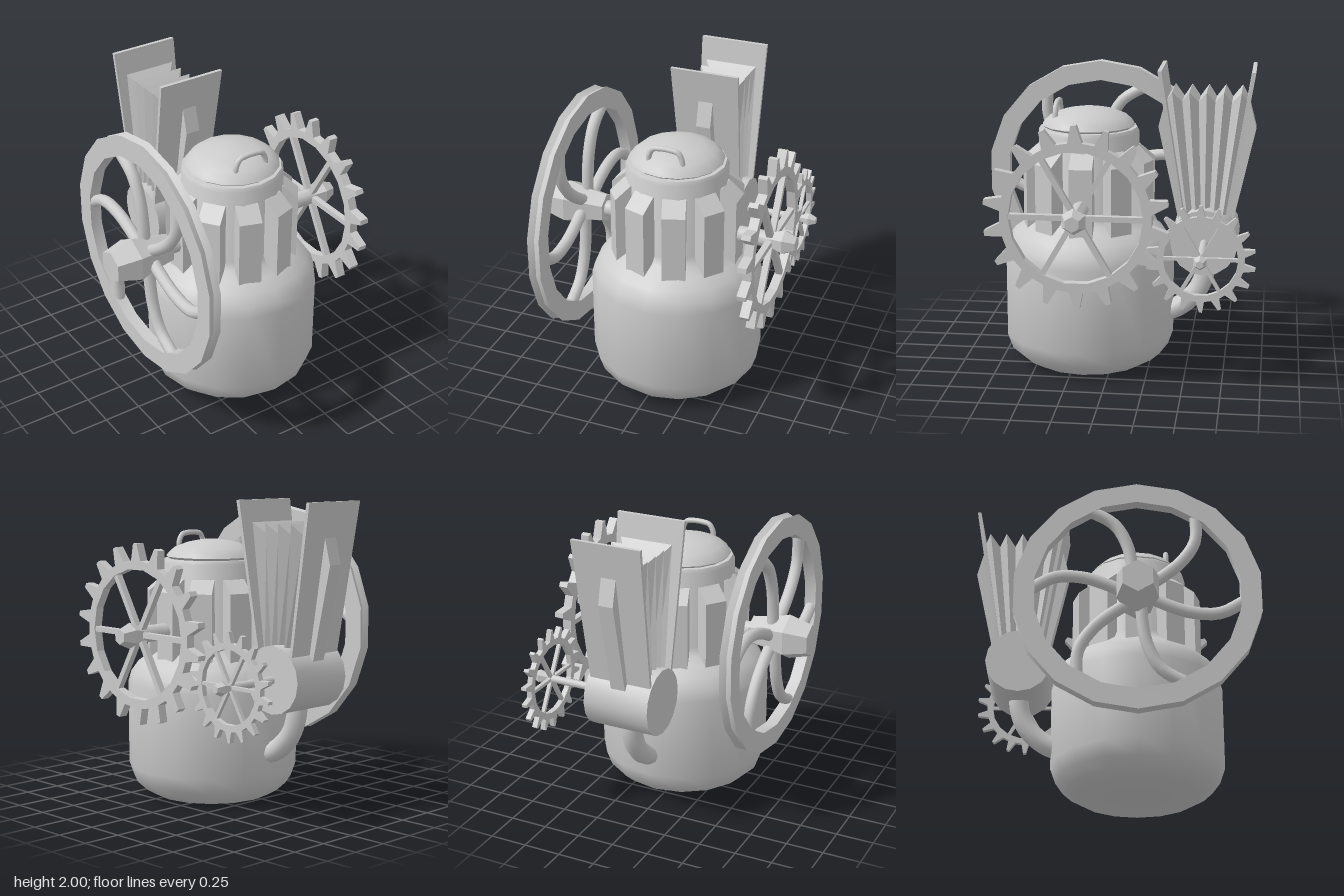
import * as THREE from 'three';
import { toCreasedNormals } from 'three/addons/utils/BufferGeometryUtils.js';

const grey = new THREE.MeshStandardMaterial({ color: 0xcccccc, side: THREE.DoubleSide });
const V3 = (x, y, z) => new THREE.Vector3(x, y, z);
const CX = 0.05, CZ = 0.17; // boiler axis
const AY = 1.135;           // main axle height
const DY = 0.88, DZ = -0.61; // drum axis

export function createModel() {
  const root = new THREE.Group();

  function add(name, geo, x = 0, y = 0, z = 0, parent = root) {
    const m = new THREE.Mesh(geo, grey);
    m.name = name;
    m.position.set(x, y, z);
    parent.add(m);
    return m;
  }
  // profile of [radius, height] turned round the y axis
  const turned = (pts, seg, crease) => toCreasedNormals(
    new THREE.LatheGeometry(pts.map(p => new THREE.Vector2(...p)), seg, Math.PI / 2), crease);
  // the same, laid along x
  const turnedX = (pts, seg, crease) => turned(pts, seg, crease).rotateZ(-Math.PI / 2);
  const tube = (pts, r, n = 14) =>
    new THREE.TubeGeometry(new THREE.CatmullRomCurve3(pts), n, r, 10);

  // Boiler with shoulder and neck
  add('boiler', turned([[0, 0], [0.4, 0], [0.47, 0.04], [0.535, 0.1], [0.57, 0.2], [0.57, 0.76],
    [0.55, 0.83], [0.5, 0.9], [0.43, 0.95], [0.36, 1.0], [0.335, 1.05], [0.335, 1.57],
    [0.32, 1.595], [0, 1.6]], 16, 0.9), CX, 0, CZ);

  // Lid and its handle
  add('lid', turned([[0, 1.59], [0.29, 1.595], [0.308, 1.61], [0.295, 1.63], [0.25, 1.67],
    [0.17, 1.70], [0.08, 1.718], [0, 1.725]], 16, 0.8), CX, 0, CZ);
  add('lidHandle', tube([V3(-0.115, 1.65, 0), V3(-0.11, 1.7, 0), V3(-0.085, 1.745, 0), V3(-0.04, 1.756, 0),
    V3(0.04, 1.756, 0), V3(0.085, 1.745, 0), V3(0.11, 1.7, 0), V3(0.115, 1.65, 0)], 0.018, 28), CX, 0, 0.375);

  // Cooling fins round the neck, with sloping tops
  const finShape = new THREE.Shape();
  [[0.3, 0.94], [0.43, 0.94], [0.43, 1.39], [0.33, 1.475], [0.3, 1.475]].forEach(([x, y], i) =>
    i ? finShape.lineTo(x, y) : finShape.moveTo(x, y));
  const finGeo = new THREE.ExtrudeGeometry(finShape, { depth: 0.15, bevelEnabled: false });
  finGeo.translate(0, 0, -0.075);
  for (let i = 0; i < 10; i++) add('fin', finGeo, CX, 0, CZ).rotation.y = i * Math.PI / 5;

  // Toothed wheel facing +x
  function gear(name, x, y, z, rTip, rRoot, rHole, depth, teeth, spokeW) {
    const g = new THREE.Group();
    g.name = name;
    g.position.set(x, y, z);
    root.add(g);
    const s = new THREE.Shape(), step = 2 * Math.PI / teeth;
    for (let i = 0; i < teeth; i++) {
      for (const [r, t] of [[rRoot, -0.27], [rTip, -0.04], [rTip, 0.12], [rRoot, 0.27]]) {
        const a = Math.PI / 2 + (i + t) * step;
        if (i || t !== -0.27) s.lineTo(r * Math.cos(a), r * Math.sin(a));
        else s.moveTo(r * Math.cos(a), r * Math.sin(a));
      }
    }
    const hole = [];
    for (let i = 0; i < teeth; i++)
      hole.push(new THREE.Vector2(rHole * Math.cos(i * step), rHole * Math.sin(i * step)));
    s.holes.push(new THREE.Path(hole));
    const rim = new THREE.ExtrudeGeometry(s, { depth, bevelEnabled: false });
    rim.translate(0, 0, -depth / 2).rotateY(Math.PI / 2);
    add('toothedRim', rim, 0, 0, 0, g);
    for (let i = 0; i < 3; i++)
      add('gearSpoke', new THREE.BoxGeometry(depth * 0.7, spokeW, rHole * 2.04), 0, 0, 0, g)
        .rotation.x = i * Math.PI / 3;
  }
  gear('largeGear', 0.695, AY, CZ, 0.588, 0.48, 0.425, 0.06, 18, 0.035);
  gear('smallGear', 0.648, DY, DZ, 0.345, 0.275, 0.235, 0.036, 18, 0.022);

  // Main axle and the caps at its ends
  add('mainAxle', new THREE.CylinderGeometry(0.055, 0.055, 1.25, 8).rotateZ(Math.PI / 2), 0.125, AY, CZ);
  add('axleCap', turnedX([[0, 0.7], [0.055, 0.7], [0.085, 0.785], [0.05, 0.865], [0, 0.865]], 6, 0.2), 0, AY, CZ);
  add('flywheelHub', turnedX([[0, -0.87], [0.11, -0.87], [0.155, -0.715], [0.122, -0.6],
    [0.1, -0.455], [0, -0.455]], 6, 0.2), 0, AY, CZ);

  // Flywheel with grooved rim and curved spokes
  add('flywheelRim', turnedX([[0.665, -0.04], [0.8, -0.04], [0.782, 0], [0.8, 0.04],
    [0.665, 0.04], [0.665, -0.04]], 18, 0.5), -0.605, AY, CZ);
  for (let i = 0; i < 6; i++) {
    const at = (r, deg) => {
      const a = THREE.MathUtils.degToRad(27 + 60 * i - deg);
      return V3(0, r * Math.cos(a), -r * Math.sin(a));
    };
    add('flywheelSpoke', tube([at(0.7, 0), at(0.54, 11), at(0.37, 17), at(0.2, 18), at(0.05, 0)], 0.04),
      -0.605, AY, CZ);
  }

  // Air drum, its axle and cap
  add('drum', toCreasedNormals(new THREE.CylinderGeometry(0.22, 0.22, 0.45, 16).rotateZ(Math.PI / 2), 0.6),
    0.055, DY, DZ);
  add('drumAxle', new THREE.CylinderGeometry(0.026, 0.026, 0.5, 8).rotateZ(Math.PI / 2), 0.47, DY, DZ);
  add('drumAxleCap', turnedX([[0, 0.665], [0.025, 0.665], [0.048, 0.725], [0.025, 0.775], [0, 0.775]], 6, 0.2),
    0, DY, DZ);

  // Pipe from drum to boiler
  add('airPipe', tube([V3(CX, 0.75, -0.615), V3(CX, 0.62, -0.61), V3(CX, 0.5, -0.565),
    V3(CX, 0.4, -0.475), V3(CX, 0.345, -0.38), V3(CX, 0.33, -0.28)], 0.068, 20));

  // Bellows boards, each with a rib on the outside
  const half = y => 0.165 + (y - 1.1) * 0.163; // fan half-width at a height
  const slab = (pts, w) => {
    const s = new THREE.Shape(pts.map(p => new THREE.Vector2(...p)));
    return new THREE.ExtrudeGeometry(s, { depth: w, bevelEnabled: false })
      .translate(0, 0, -w / 2).rotateY(Math.PI / 2);
  };
  for (const side of [0, 1]) {
    const board = new THREE.Group();
    board.name = side ? 'frontBoard' : 'backBoard';
    board.position.set(CX, 0, DZ);
    board.rotation.y = side * Math.PI;
    root.add(board);
    const panel = slab([[half(1) - 0.022, 1], [half(1), 1], [half(2), 2], [half(2) - 0.025, 2]], 0.47);
    const p = panel.attributes.position;
    for (let i = 0; i < p.count; i++) p.setX(i, p.getX(i) * (0.9 + 0.1 * (p.getY(i) - 1)));
    panel.computeVertexNormals();
    add('boardPanel', panel, 0, 0, 0, board);
    add('boardRib', slab([[half(1) - 0.01, 1], [half(1) + 0.035, 1], [half(1.61) + 0.07, 1.61],
      [half(1.8) - 0.01, 1.8]], 0.1), 0, 0, 0, board);
  }

  // Pleated bellows: loops alternating between valley and ridge across the fan
  const pos = [], idx = [], N = 10;
  for (let i = 0; i <= N; i++) {
    const ridge = i % 2, w = ridge ? 0.18 : 0.12, top = ridge ? 1.86 : 1.79;
    const t = 1 - 2 * i / N;
    for (const [x, y] of [[-w, 1], [-w, top], [w, top], [w, 1]])
      pos.push(CX + x, y, DZ + t * (half(y) - 0.012));
    if (i < N) for (let k = 0; k < 4; k++) {
      const a = i * 4 + k, b = i * 4 + (k + 1) % 4;
      idx.push(a, b, a + 4, b, b + 4, a + 4);
    }
  }
  const pleats = new THREE.BufferGeometry();
  pleats.setAttribute('position', new THREE.Float32BufferAttribute(pos, 3));
  pleats.setIndex(idx);
  const flat = pleats.toNonIndexed();
  flat.computeVertexNormals();
  add('bellowsPleats', flat);

  return root;
}
